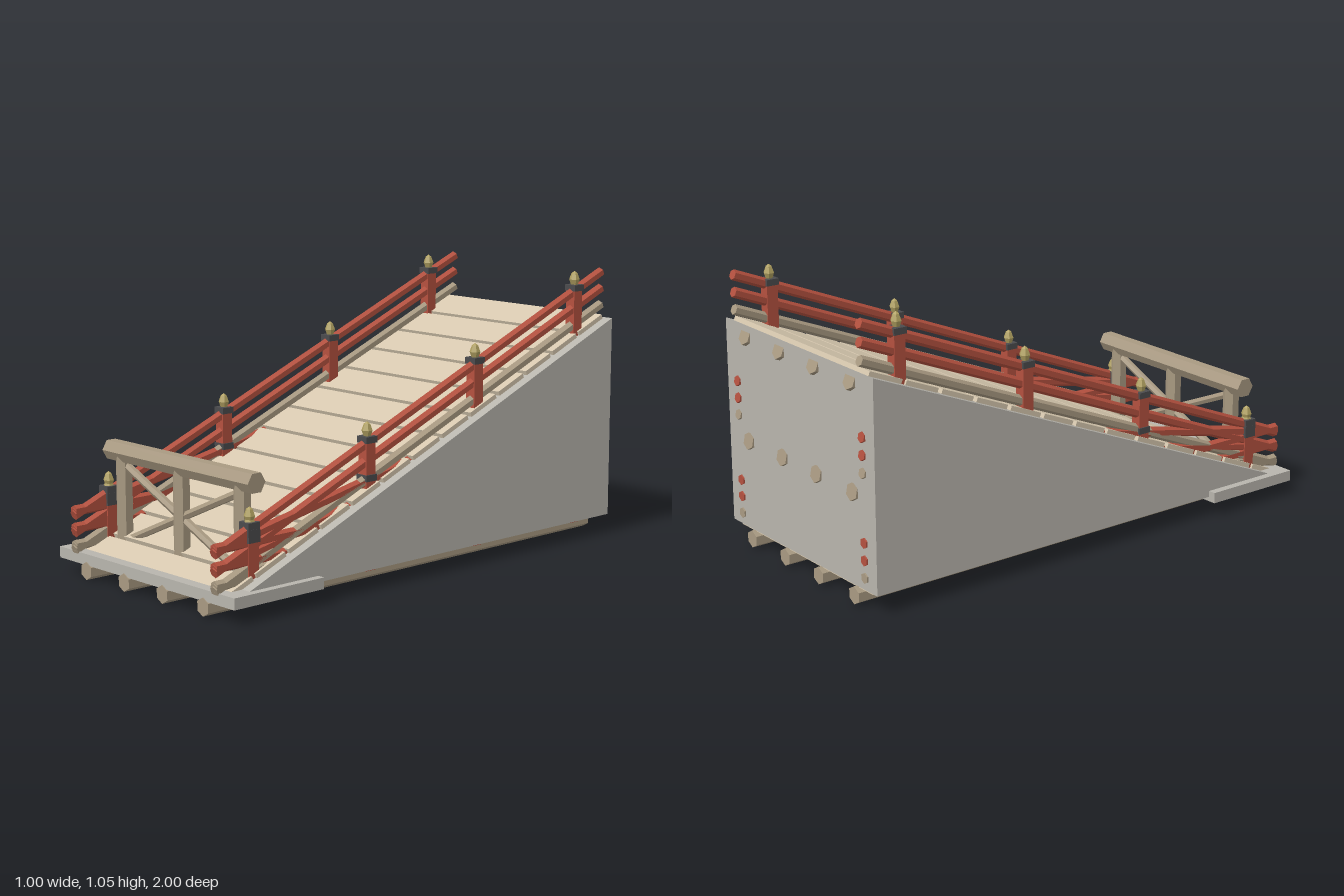
import * as THREE from 'three';

const mat = (name, color, extra = {}) => {
  const m = new THREE.MeshStandardMaterial({ color, flatShading: true, ...extra });
  m.name = name;
  return m;
};

export function createModel() {
  const root = new THREE.Group();
  root.name = 'rampBridge';
  const wood = mat('timber', 0xa99a82);
  const deckWood = mat('deckPlank', 0xd6c7ae);
  const red = mat('redLacquer', 0xb5513f);
  const iron = mat('darkIron', 0x4b4b4d);
  const brass = mat('brass', 0xb0a060);
  const stone = mat('stone', 0xb8b5ad);

  const add = (parent, name, geo, material, x = 0, y = 0, z = 0) => {
    const m = new THREE.Mesh(geo, material);
    m.name = name;
    m.position.set(x, y, z);
    parent.add(m);
    return m;
  };
  // Hexagonal timber between two points
  const bar = (parent, name, a, b, r, material, turn = 0) => {
    const p = new THREE.Vector3(...a), q = new THREE.Vector3(...b);
    const dir = q.clone().sub(p);
    const geo = new THREE.CylinderGeometry(r, r, dir.length(), 6).rotateY(turn);
    const m = add(parent, name, geo, material);
    m.position.copy(p).add(q).multiplyScalar(0.5);
    m.quaternion.setFromUnitVectors(new THREE.Vector3(0, 1, 0), dir.normalize());
    return m;
  };

  // Stone wedge and front slab
  const side = new THREE.Shape([[0.95, 0.073], [-0.982, 0.073], [-0.982, 0.86]]
    .map(([z, y]) => new THREE.Vector2(z, y)));
  const wedge = new THREE.ExtrudeGeometry(side, { depth: 0.94, bevelEnabled: false });
  wedge.rotateY(-Math.PI / 2).translate(0.47, 0, 0);
  add(root, 'stoneWedge', wedge, stone);
  add(root, 'frontSlab', new THREE.BoxGeometry(1, 0.042, 0.41), stone, 0, 0.076, 0.78);

  const finial = new THREE.LatheGeometry(
    [[0, 0], [0.013, 0], [0.021, 0.022], [0.012, 0.046], [0, 0.055]]
      .map(([r, y]) => new THREE.Vector2(r, y)), 6);

  // One bridge span: base line height at the back, falling by slope to the front
  const span = (name, back, slope, beamFront) => {
    const g = new THREE.Group();
    g.name = name;
    root.add(g);
    const base = z => back - slope * (z + 0.985);
    const beam = (part, x, offset, r, material, front = 0.99) =>
      bar(g, part, [x, base(front) + offset, front], [x, base(-0.988) + offset, -0.988], r, material);

    for (const x of [-0.335, -0.11, 0.11, 0.335]) beam('floorBeam', x, 0, 0.034, wood, beamFront);

    // Deck planks with narrow gaps
    const count = 13, pitch = 1.963 / count, angle = Math.atan(slope);
    for (let i = 0; i < count; i++) {
      const z = -0.98 + pitch * (i + 0.5);
      const geo = new THREE.BoxGeometry(0.86, 0.032 * Math.cos(angle), (pitch - 0.017) / Math.cos(angle));
      add(g, 'deckPlank', geo, deckWood, 0, base(z) + 0.044, z).rotation.x = angle;
    }

    // Curbs, rails and posts on both sides
    for (const x of [-0.4, 0.4]) {
      beam('curb', x, 0.085, 0.02, wood);
      beam('lowerRail', x, 0.15, 0.02, red);
      beam('upperRail', x, 0.215, 0.02, red);
      for (const z of [0.83, 0.275, -0.28, -0.835]) {
        const y = base(z);
        add(g, 'railPost', new THREE.BoxGeometry(0.042, 0.2, 0.046), red, x, y + 0.12, z);
        add(g, 'postCollar', new THREE.BoxGeometry(0.052, 0.024, 0.052), iron, x, y + 0.228, z);
        add(g, 'postFinial', finial, brass, x, y + 0.238, z);
      }
    }
  };
  span('flatSpan', 0.034, 0, 0.988);
  span('middleSpan', 0.42, 0.2, 0.8);
  span('steepSpan', 0.82, 0.407, 0.8);

  // Barrier across the lower end
  const gate = new THREE.Group();
  gate.name = 'barrier';
  root.add(gate);
  const gz = 0.807;
  const top = new THREE.CylinderGeometry(0.04, 0.04, 0.824, 6).rotateZ(Math.PI / 2);
  add(gate, 'topBeam', top, wood, 0, 0.454, gz);
  for (const x of [-0.335, 0, 0.335])
    add(gate, 'barrierPost', new THREE.CylinderGeometry(0.032, 0.032, 0.35, 6), wood, x, 0.275, gz);
  for (const s of [-1, 1])
    bar(gate, 'crossBrace', [s * 0.335, 0.412, gz], [-s * 0.32, 0.122, gz], 0.016, wood);

  return root;
}
